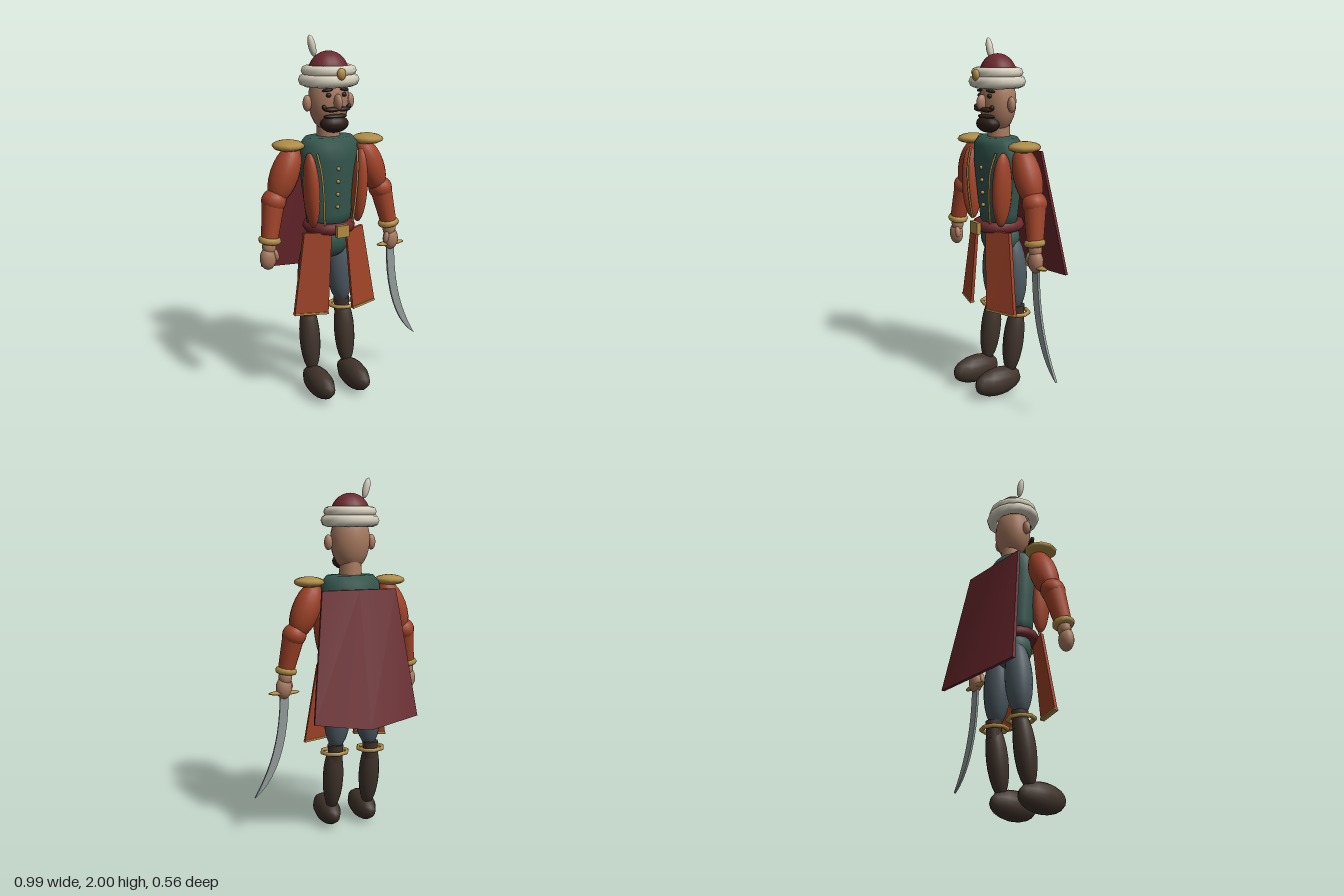
import * as THREE from 'three';

const material = (name, color) => {
  const m = new THREE.MeshStandardMaterial({ color });
  m.name = name;
  return m;
};

export function createModel() {
  const skin = material('skin', 0xa87a60), hair = material('dark hair', 0x2b1d16);
  const cream = material('cream cloth', 0xd6cfbd), maroon = material('maroon cloth', 0x6b282d);
  const green = material('green vest', 0x34574e), coat = material('rust coat', 0xa04328);
  const gold = material('gold', 0xb08c45), grey = material('grey trousers', 0x4b5860);
  const leather = material('boot leather', 0x40332b), steel = material('steel', 0x939c9b);

  const model = new THREE.Group();
  model.name = 'swordsman';
  const body = new THREE.Group();
  body.name = 'figure';
  body.position.x = -0.067;
  model.add(body);

  const add = (name, geometry, mat, pos = [0, 0, 0], rot = [0, 0, 0], scale = [1, 1, 1]) => {
    const mesh = new THREE.Mesh(geometry, mat);
    mesh.name = name;
    mesh.position.set(...pos);
    mesh.rotation.set(...rot);
    mesh.scale.set(...scale);
    body.add(mesh);
    return mesh;
  };
  const sphere = new THREE.SphereGeometry(1, 16, 12);
  const ball = (name, mat, pos, radii, rot) => add(name, sphere, mat, pos, rot, radii);
  // Horizontal ring with outer radii rx, rz and tube radius t
  const ring = (name, mat, pos, rx, rz, t, sides = 16) => {
    const g = new THREE.TorusGeometry(rx - t, t, 8, sides).rotateX(Math.PI / 2);
    return add(name, g, mat, pos, [0, 0, 0], [1, 1, rz / rx]);
  };
  const tube = (name, mat, points, r) => add(name, new THREE.TubeGeometry(
    new THREE.CatmullRomCurve3(points.map(p => new THREE.Vector3(...p))), 10, r, 6), mat);

  // Torso, hips and neck
  const profile = [[0, 0.97], [0.125, 0.97], [0.135, 1.05], [0.155, 1.2], [0.172, 1.35],
    [0.17, 1.43], [0.135, 1.472], [0, 1.478]].map(p => new THREE.Vector2(...p));
  add('vest', new THREE.LatheGeometry(profile, 20), green, [0, 0, 0.037], [0, 0, 0], [1, 1, 0.68]);
  ball('hips', green, [0, 0.9, 0.025], [0.13, 0.115, 0.1]);
  add('neck', new THREE.CylinderGeometry(0.06, 0.066, 0.12, 14), skin, [0, 1.5, 0.032]);
  for (let i = 0; i < 4; i++) ball('button', gold, [0, 1.1 + i * 0.07, 0.142 + i * 0.003], [0.011, 0.011, 0.011]);

  // Belt and buckle
  ring('belt', maroon, [0, 0.978, 0.037], 0.145, 0.15, 0.033);
  add('buckle', new THREE.BoxGeometry(0.072, 0.066, 0.025), gold, [0, 0.978, 0.195]);

  // Head and face
  ball('head', skin, [0, 1.665, 0.04], [0.112, 0.17, 0.097]);
  ball('nose', skin, [0, 1.66, 0.145], [0.021, 0.044, 0.032]);
  ball('beard', hair, [0, 1.545, 0.105], [0.08, 0.048, 0.055]);
  ball('mouth beard', hair, [0, 1.585, 0.115], [0.068, 0.014, 0.03]);

  // Turban
  const dome = new THREE.SphereGeometry(1, 16, 8, 0, Math.PI * 2, 0, Math.PI / 2);
  add('cap', dome, maroon, [0, 1.8, 0.037], [0, 0, 0], [0.112, 0.118, 0.1]);
  ring('lower turban wrap', cream, [0, 1.769, 0.042], 0.165, 0.15, 0.034, 14);
  ring('upper turban wrap', cream, [0, 1.817, 0.042], 0.149, 0.137, 0.029, 14);
  ball('turban jewel', gold, [0, 1.807, 0.182], [0.025, 0.031, 0.018]);
  ball('feather', cream, [-0.09, 1.944, 0.027], [0.02, 0.057, 0.02], [0, 0, 0.25]);

  // Trapezoid coat tail between heights t0 and t1 (0 top, 1 hem), angled back at its outer edge
  const lerp = THREE.MathUtils.lerp;
  const tailGeometry = (s, t0, t1, thick) => {
    const g = new THREE.BoxGeometry(1, 1, 1), p = g.attributes.position;
    for (let i = 0; i < p.count; i++) {
      const u = 0.5 + s * p.getX(i), t = lerp(t1, t0, p.getY(i) + 0.5);
      const x = lerp(lerp(0.045, 0.18, u), lerp(0.077, 0.252, u), t);
      p.setXYZ(i, s * x, lerp(0.965, 0.515, t), 0.15 + 0.02 * t - 0.06 * u + p.getZ(i) * thick);
    }
    g.computeVertexNormals();
    return g;
  };

  for (const s of [-1, 1]) {
    // Face details
    ball('ear', skin, [s * 0.127, 1.652, 0.04], [0.024, 0.043, 0.022]);
    ball('eye', hair, [s * 0.045, 1.697, 0.126], [0.014, 0.012, 0.012]);
    ball('eyebrow', hair, [s * 0.05, 1.723, 0.122], [0.03, 0.008, 0.014], [0, s * 0.3, -s * 0.12]);
    ball('moustache', hair, [s * 0.036, 1.624, 0.143], [0.042, 0.013, 0.02], [0, s * 0.25, 0]);
    ball('moustache tip', hair, [s * 0.072, 1.634, 0.13], [0.012, 0.016, 0.013], [0, 0, -s * 0.5]);

    // Open coat front with gold edging
    ball('coat lapel', coat, [s * 0.145, 1.2, 0.118], [0.042, 0.205, 0.06], [0, 0, -s * 0.05]);
    tube('lapel trim', gold, [[s * 0.12, 1.4, 0.14], [s * 0.108, 1.3, 0.168],
      [s * 0.096, 1.15, 0.17], [s * 0.085, 1.01, 0.155]], 0.006);
    add('coat tail', tailGeometry(s, 0, 1, 0.02), coat);
    add('coat tail trim', tailGeometry(s, 0.985, 1.01, 0.028), gold);

    // Arm
    add('epaulette', new THREE.SphereGeometry(1, 10, 8), gold, [s * 0.24, 1.438, 0.04],
      [0, 0, 0], [0.087, 0.03, 0.094]);
    ball('upper arm', coat, [s * 0.262, 1.285, 0.037], [0.078, 0.165, 0.077], [0, 0, s * 0.38]);
    ball('elbow', coat, [s * 0.328, 1.15, 0.04], [0.067, 0.065, 0.07]);
    add('forearm', new THREE.CylinderGeometry(0.062, 0.046, 0.2, 14), coat,
      [s * 0.351, 1.045, 0.055], [-0.14, 0, s * 0.19]);
    ring('cuff', gold, [s * 0.369, 0.947, 0.069], 0.063, 0.058, 0.02, 12).rotation.z = s * 0.15;
    ball('wrist', skin, [s * 0.374, 0.912, 0.07], [0.038, 0.05, 0.035]);
    ball('fist', skin, [s * 0.382, 0.85, 0.073], [0.046, 0.064, 0.038]);
    ball('thumb', skin, [s * 0.343, 0.865, 0.088], [0.016, 0.034, 0.018], [0, 0, -s * 0.2]);

    // Leg
    ball('thigh', grey, [s * 0.09, 0.705, -0.003], [0.078, 0.22, 0.073], [0, 0, s * 0.06]);
    add('knee', new THREE.CylinderGeometry(0.046, 0.04, 0.1, 12), leather, [s * 0.107, 0.465, -0.012]);
    ring('boot ring', gold, [s * 0.11, 0.474, -0.006], 0.086, 0.08, 0.012, 8);
    ball('boot shaft', leather, [s * 0.112, 0.315, 0.015], [0.059, 0.205, 0.06], [-0.14, 0, 0]);
    add('foot', new THREE.SphereGeometry(1, 12, 10), leather, [s * 0.112, 0.082, 0.125],
      [0, 0, 0], [0.069, 0.082, 0.156]);
  }

  // Cape: slanted slab, widening and folded back along its middle towards the hem
  const cape = new THREE.BoxGeometry(2, 1, 1, 2, 1, 1), cp = cape.attributes.position;
  for (let i = 0; i < cp.count; i++) {
    const u = cp.getX(i), t = 0.5 - cp.getY(i), fold = (1 - Math.abs(u)) * t;
    cp.setXYZ(i, u * lerp(0.215, 0.302, t), 1.4 - 0.7 * t - 0.04 * fold,
      -0.098 - 0.118 * t - 0.058 * fold + cp.getZ(i) * 0.018);
  }
  cape.computeVertexNormals();
  add('cape', cape, maroon);

  // Curved sword in the left hand
  const blade = new THREE.Shape();
  blade.moveTo(-0.024, 0);
  blade.bezierCurveTo(-0.02, -0.27, 0.05, -0.48, 0.18, -0.575);
  blade.bezierCurveTo(0.09, -0.42, 0.03, -0.26, 0.024, 0);
  add('sword blade', new THREE.ExtrudeGeometry(blade, { depth: 0.014, bevelEnabled: false, curveSegments: 10 }),
    steel, [0.382, 0.8, 0.064]);
  ball('sword guard', gold, [0.382, 0.822, 0.071], [0.09, 0.014, 0.024]);
  add('sword grip', new THREE.CylinderGeometry(0.016, 0.016, 0.13, 10), gold, [0.382, 0.87, 0.071]);

  return model;
}
